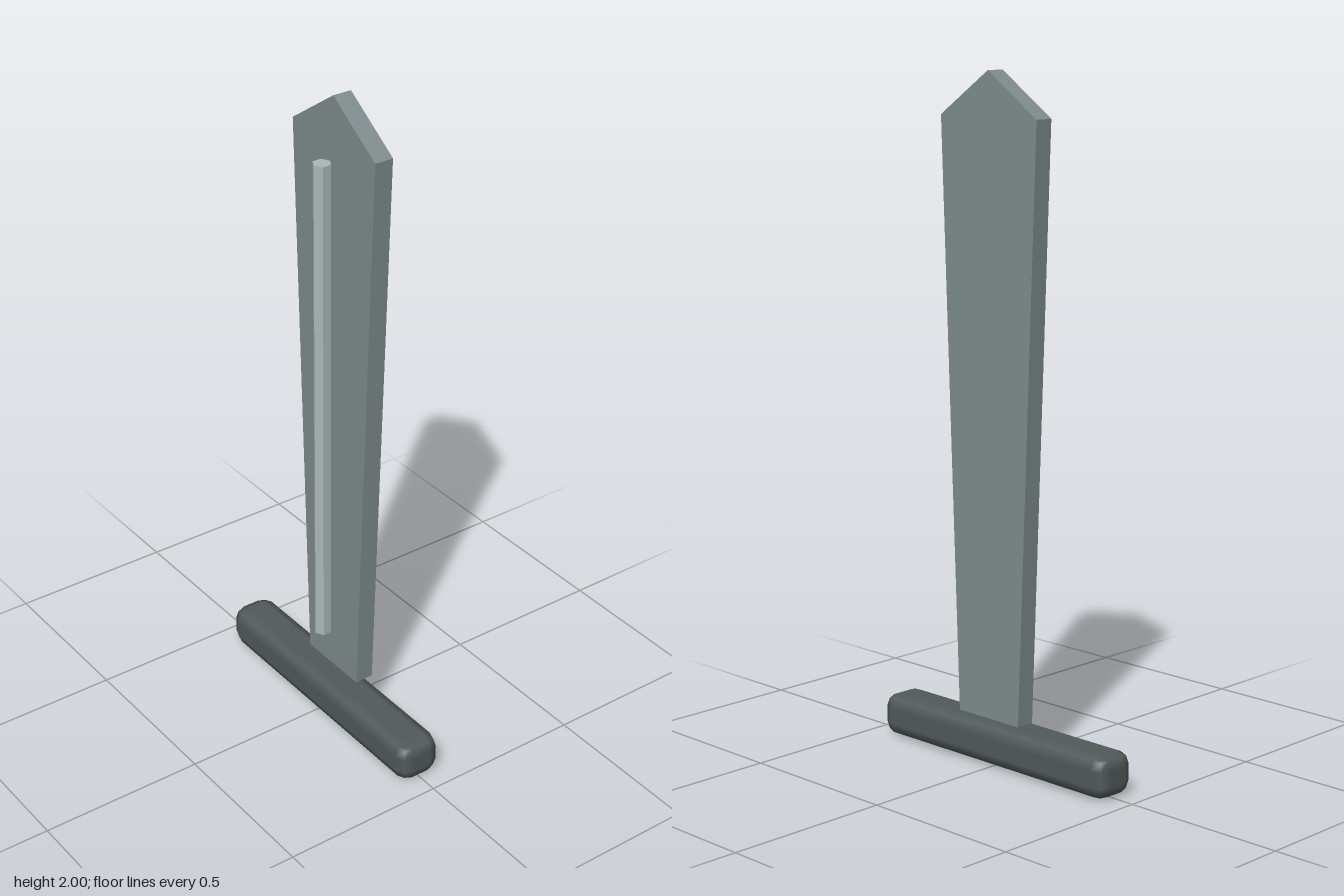
import * as THREE from 'three';
import { RoundedBoxGeometry } from 'three/addons/geometries/RoundedBoxGeometry.js';

function material(name, color) {
  const m = new THREE.MeshStandardMaterial({ color });
  m.name = name;
  return m;
}

export function createModel() {
  const group = new THREE.Group();
  group.name = 'bladeOnCrossguard';

  const steel = material('steel grey', 0x7f8c8d);
  const pale = material('pale grey', 0xaab7b8);
  const dark = material('dark grey', 0x515a5a);

  const add = (name, geometry, mat, x, y, z) => {
    const mesh = new THREE.Mesh(geometry, mat);
    mesh.name = name;
    mesh.position.set(x, y, z);
    group.add(mesh);
  };

  // crossguard: bar with rounded edges
  add('crossguard', new RoundedBoxGeometry(0.894, 0.13, 0.14, 1, 0.042), dark, 0, 0.067, 0);

  // blade: flat plate widening upward to a blunt point
  const outline = new THREE.Shape([
    [-0.118, 0.15], [0.118, 0.15], [0.185, 1.873], [0, 2], [-0.185, 1.873],
  ].map(([x, y]) => new THREE.Vector2(x, y)));
  const blade = new THREE.ExtrudeGeometry(outline, { depth: 0.058, bevelEnabled: false });
  add('blade', blade, steel, 0, 0, -0.061);

  // ridge: slim six-sided rod in front of the blade
  const ridge = new THREE.CylinderGeometry(0.027, 0.027, 1.526, 6).toNonIndexed();
  ridge.computeVertexNormals();
  add('ridge', ridge, pale, 0, 1.053, 0.034);

  return group;
}
